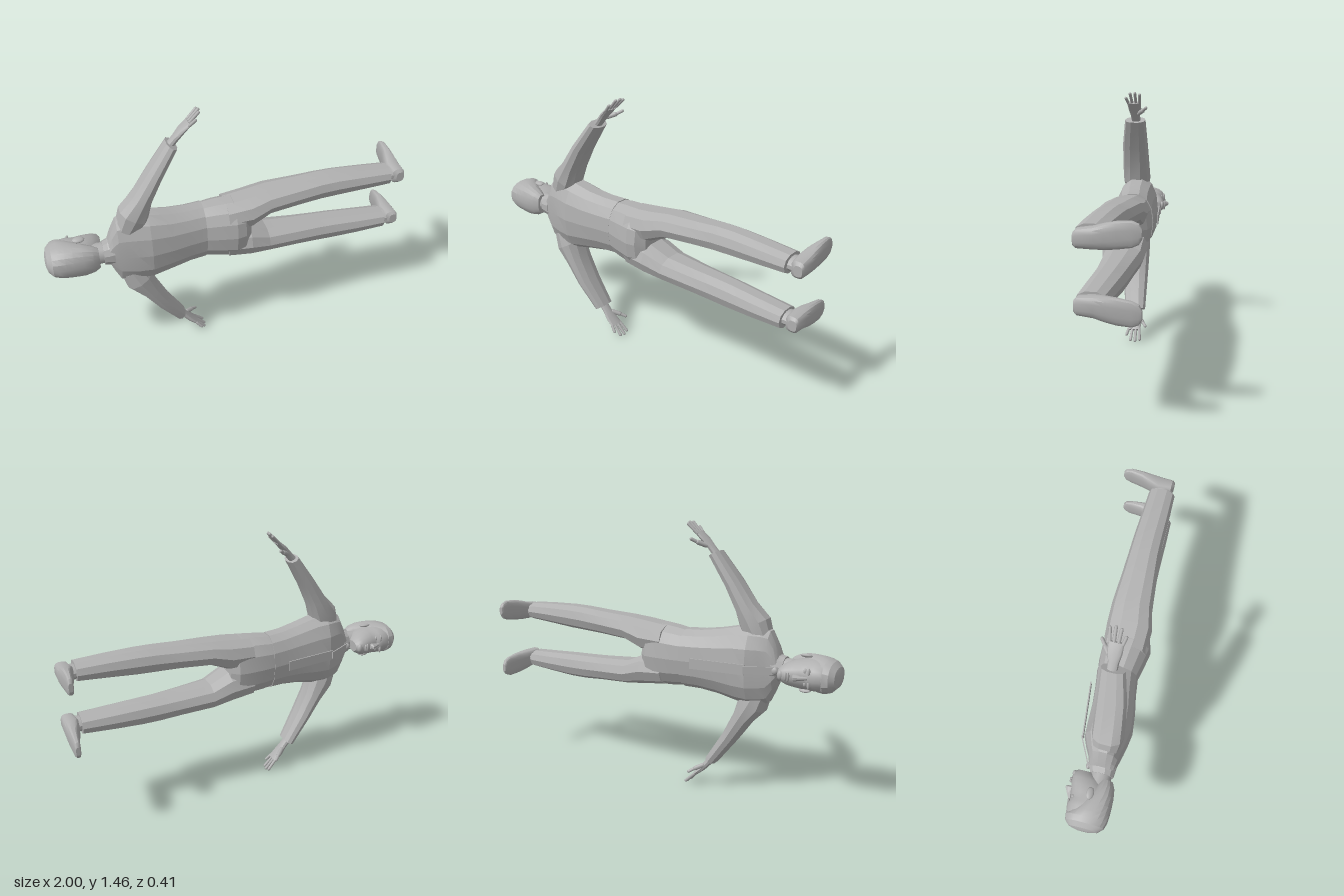
import * as THREE from 'three';
import { toCreasedNormals } from 'three/addons/utils/BufferGeometryUtils.js';

const MID = 0.73; // height of the body's plane of symmetry
const Y = new THREE.Vector3(0, 1, 0);
const Z = new THREE.Vector3(0, 0, 1);
const X = new THREE.Vector3(1, 0, 0);

// Skin over rings. Each row: [x, y, z, radius along u, radius along v].
function loft(rows, u, v, sides = 12, power = 2, crease = 0.2) {
  const pos = [], idx = [], n = rows.length;
  const first = new THREE.Vector3(...rows[0].slice(0, 3));
  const last = new THREE.Vector3(...rows[n - 1].slice(0, 3));
  const flip = u.clone().cross(v).dot(last.clone().sub(first)) < 0;
  const tri = (a, b, c) => (flip ? idx.push(a, c, b) : idx.push(a, b, c));
  const bend = (k) => Math.sign(k) * Math.pow(Math.abs(k), 2 / power);
  for (const [x, y, z, ru, rv] of rows) {
    for (let j = 0; j < sides; j++) {
      const t = ((j + 0.5) / sides) * Math.PI * 2;
      const p = new THREE.Vector3(x, y, z)
        .addScaledVector(u, ru * bend(Math.cos(t)))
        .addScaledVector(v, rv * bend(Math.sin(t)));
      pos.push(p.x, p.y, p.z);
    }
  }
  for (let i = 0; i < n - 1; i++) {
    for (let j = 0; j < sides; j++) {
      const k = (j + 1) % sides, a = i * sides, b = a + sides;
      tri(a + j, a + k, b + k);
      tri(a + j, b + k, b + j);
    }
  }
  // end caps
  pos.push(...first.toArray(), ...last.toArray());
  const c0 = n * sides, top = (n - 1) * sides;
  for (let j = 0; j < sides; j++) {
    const k = (j + 1) % sides;
    tri(c0, k, j);
    tri(c0 + 1, top + j, top + k);
  }
  const g = new THREE.BufferGeometry();
  g.setAttribute('position', new THREE.Float32BufferAttribute(pos, 3));
  g.setIndex(idx);
  return toCreasedNormals(g, crease);
}

// Rows across the body axis: [x, sideways offset, half width, front z, back z]
const across = (rows, s = 1) =>
  rows.map(([x, d, w, f, b]) => [x, MID + s * d, (f + b) / 2, w, (b - f) / 2]);

export function createModel() {
  const model = new THREE.Group();
  const grey = new THREE.MeshStandardMaterial({ color: 0xb0b0b0 });
  grey.name = 'plain grey';
  const add = (name, geometry) => {
    const m = new THREE.Mesh(geometry, grey);
    m.name = name;
    model.add(m);
    return m;
  };
  const ball = (name, p, scale) => {
    const m = add(name, new THREE.SphereGeometry(1, 12, 8));
    m.position.set(...p);
    m.scale.set(...scale);
    return m;
  };
  const capsule = (name, a, b, r) => {
    const A = new THREE.Vector3(...a), d = new THREE.Vector3(...b).sub(A);
    const m = add(name, new THREE.CapsuleGeometry(r, Math.max(d.length() - r, 0.001), 3, 8));
    m.position.copy(A).addScaledVector(d, 0.5);
    m.quaternion.setFromUnitVectors(Y, d.normalize());
  };

  // Head and neck
  add('head', loft(across([
    [-0.99, 0, 0.03, 0.03, 0.11], [-0.975, 0, 0.055, -0.005, 0.15],
    [-0.94, 0, 0.075, -0.028, 0.17], [-0.89, 0, 0.08, -0.036, 0.178],
    [-0.868, 0, 0.08, -0.036, 0.178], [-0.85, 0, 0.078, -0.026, 0.175],
    [-0.82, 0, 0.077, -0.034, 0.165], [-0.785, 0, 0.07, -0.042, 0.15],
    [-0.75, 0, 0.06, -0.048, 0.125], [-0.725, 0, 0.045, -0.045, 0.09],
    [-0.708, 0, 0.03, -0.028, 0.06],
  ]), Y, Z, 20, 2.2, 0.6));
  add('hair', loft(across([
    [-1, 0, 0.025, 0.04, 0.11], [-0.99, 0, 0.052, 0.0, 0.152],
    [-0.965, 0, 0.077, -0.025, 0.178], [-0.935, 0, 0.088, -0.03, 0.187],
    [-0.9, 0, 0.092, -0.005, 0.19], [-0.86, 0, 0.092, 0.025, 0.19],
    [-0.81, 0, 0.088, 0.06, 0.188], [-0.76, 0, 0.075, 0.085, 0.18],
    [-0.73, 0, 0.058, 0.1, 0.165],
  ]), Y, Z, 18, 2.3, 0.4));
  add('nose', loft([
    [-0.865, MID, -0.03, 0.008, 0.006], [-0.83, MID, -0.04, 0.011, 0.016],
    [-0.805, MID, -0.045, 0.018, 0.025], [-0.795, MID, -0.04, 0.014, 0.015],
  ], Y, Z, 8, 2, 0.6));
  ball('upperLip', [-0.772, MID, -0.046], [0.007, 0.025, 0.009]);
  ball('lowerLip', [-0.759, MID, -0.047], [0.007, 0.022, 0.009]);
  ball('chin', [-0.727, MID, -0.037], [0.016, 0.025, 0.014]);
  add('neck', loft(across([
    [-0.77, 0, 0.055, 0.035, 0.155], [-0.7, 0, 0.055, 0.04, 0.15],
    [-0.63, 0, 0.06, 0.035, 0.155],
  ]), Y, Z, 14, 2, 0.6));

  // Shirt, collar and tie
  add('collar', loft(across([
    [-0.705, 0, 0.063, 0.035, 0.16], [-0.68, 0, 0.068, 0.022, 0.163],
    [-0.65, 0, 0.085, 0.01, 0.165],
  ]), Y, Z, 12));
  add('shirt', loft(across([
    [-0.675, 0, 0.07, 0.025, 0.155], [-0.655, 0, 0.13, 0.015, 0.16],
    [-0.625, 0, 0.195, 0.005, 0.168], [-0.59, 0, 0.205, -0.015, 0.177],
    [-0.53, 0, 0.21, -0.042, 0.19], [-0.46, 0, 0.205, -0.045, 0.2],
    [-0.35, 0, 0.18, -0.048, 0.187], [-0.25, 0, 0.165, -0.058, 0.167],
    [-0.16, 0, 0.162, -0.072, 0.155],
  ]), Y, Z, 14, 2.3));
  const tie = add('tie', new THREE.BoxGeometry(0.3, 0.055, 0.006));
  tie.position.set(-0.388, MID, -0.067);
  tie.rotation.y = 0.12;
  const tieTop = add('tieTop', new THREE.BoxGeometry(0.165, 0.04, 0.006));
  tieTop.position.set(-0.605, MID, -0.018);
  tieTop.rotation.y = 0.48;
  ball('tieKnot', [-0.672, MID, 0.018], [0.02, 0.02, 0.012]);

  // Seat of the trousers
  add('trouserSeat', loft(across([
    [-0.18, 0, 0.154, -0.066, 0.15], [-0.1, 0, 0.166, -0.077, 0.168],
    [0, 0, 0.174, -0.08, 0.186], [0.05, 0, 0.165, -0.075, 0.175],
    [0.09, 0, 0.11, -0.04, 0.13],
  ]), Y, Z, 14, 2.3));

  for (const s of [1, -1]) {
    const side = s > 0 ? 'upper' : 'lower';
    const y = (d) => MID + s * d;
    const place = (rows) => rows.map(([x, d, ...rest]) => [x, y(d), ...rest]);

    // Face details and ear
    ball(side + 'Eye', [-0.848, y(0.032), -0.015], [0.009, 0.015, 0.009]);
    ball(side + 'Brow', [-0.872, y(0.033), -0.029], [0.007, 0.022, 0.008]);
    const ear = ball(side + 'Ear', [-0.82, y(0.09), 0.07], [0.032, 0.01, 0.02]);
    ear.rotation.x = s * 0.25;

    // Sleeve
    const u = new THREE.Vector3(-0.866, s * 0.5, 0);
    add(side + 'Sleeve', loft(place([
      [-0.57, 0.13, 0.09, 0.065, 0.07], [-0.532, 0.21, 0.09, 0.08, 0.083],
      [-0.48, 0.3, 0.085, 0.053, 0.08], [-0.41, 0.42, 0.078, 0.041, 0.075],
      [-0.31, 0.568, 0.06, 0.031, 0.06],
    ]), u, Z, 10, 2.4));

    // Hand
    const h = new THREE.Vector3(-0.72, s * 0.69, 0);
    add(side + 'Palm', loft(place([
      [-0.325, 0.55, 0.055, 0.02, 0.026], [-0.285, 0.597, 0.055, 0.018, 0.027],
      [-0.255, 0.632, 0.052, 0.016, 0.037], [-0.215, 0.67, 0.05, 0.011, 0.039],
    ]), h, Z, 10, 2.3, 0.6));
    [[0.082, 0.092, -0.19, 0.697], [0.061, 0.064, -0.168, 0.722],
      [0.04, 0.036, -0.163, 0.724], [0.02, 0.009, -0.168, 0.716]]
      .forEach(([z0, z1, x, d], i) =>
        capsule(side + 'Finger' + (i + 1), [-0.222, y(0.663), z0], [x, y(d), z1], 0.0085));
    capsule(side + 'ThumbBase', [-0.27, y(0.605), 0.035], [-0.228, y(0.625), 0.0], 0.013);
    capsule(side + 'ThumbTip', [-0.228, y(0.625), 0.0], [-0.202, y(0.642), -0.022], 0.009);

    // Trouser leg and ankle
    add(side + 'TrouserLeg', loft(across([
      [-0.04, 0.088, 0.08, -0.07, 0.165], [0.09, 0.096, 0.088, -0.08, 0.168],
      [0.2, 0.127, 0.069, -0.08, 0.142], [0.38, 0.138, 0.067, -0.07, 0.122],
      [0.5, 0.145, 0.069, -0.065, 0.11], [0.6, 0.148, 0.068, -0.062, 0.107],
      [0.75, 0.15, 0.06, -0.054, 0.106], [0.91, 0.15, 0.05, -0.045, 0.102],
    ], s), Y, Z, 10, 2.3));
    add(side + 'Ankle', loft(across([
      [0.88, 0.148, 0.036, -0.025, 0.078], [0.95, 0.148, 0.038, -0.035, 0.08],
    ], s), Y, Z, 12, 2, 0.6));

    // Shoe: [z, sideways offset, half width, upper x, sole x]
    add(side + 'Shoe', loft([
      [0.085, 0.146, 0.028, 0.95, 0.995], [0.072, 0.147, 0.043, 0.928, 1],
      [0.0, 0.15, 0.05, 0.918, 1], [-0.05, 0.158, 0.057, 0.928, 0.998],
      [-0.1, 0.165, 0.06, 0.942, 0.994], [-0.165, 0.172, 0.057, 0.953, 0.99],
      [-0.195, 0.173, 0.044, 0.957, 0.987], [-0.208, 0.174, 0.022, 0.963, 0.984],
    ].map(([z, d, w, a, b]) => [(a + b) / 2, y(d), z, w, (b - a) / 2]), Y, X, 16, 3, 0.5));
  }
  return model;
}
